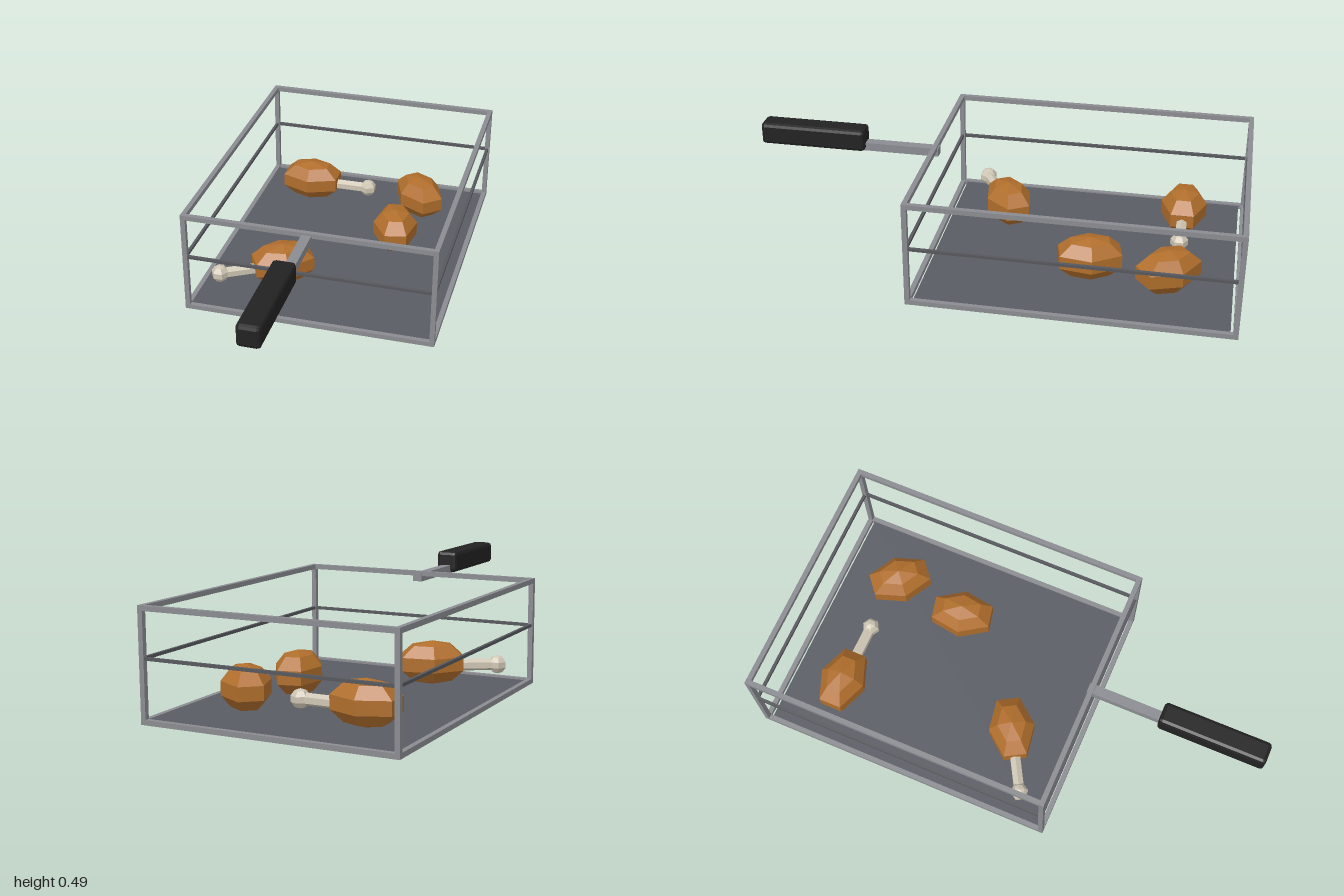
import * as THREE from 'three';
import { RoundedBoxGeometry } from 'three/addons/geometries/RoundedBoxGeometry.js';

const mat = (name, color, flatShading = false) => {
  const m = new THREE.MeshStandardMaterial({ color, flatShading });
  m.name = name;
  return m;
};

export function createModel() {
  const steel = mat('steel', 0x8b8c91);
  const wire = mat('dark wire', 0x57585d);
  const tray = mat('tray grey', 0x595c63);
  const black = mat('black grip', 0x222222, true);
  const meat = mat('fried brown', 0xb06e2c, true);
  const bone = mat('bone', 0xcfc6b4, true);

  const model = new THREE.Group();
  model.name = 'fryBasket';

  const add = (parent, name, geometry, material, x, y, z) => {
    const mesh = new THREE.Mesh(geometry, material);
    mesh.name = name;
    mesh.position.set(x, y, z);
    parent.add(mesh);
    return mesh;
  };
  const box = (name, w, h, d, material, x, y, z) =>
    add(model, name, new THREE.BoxGeometry(w, h, d), material, x, y, z);

  // Basket dimensions
  const T = 0.02, X = 0.51, H = 0.44, zBack = -0.99, zFront = 0.27;
  const zMid = (zBack + zFront) / 2, length = zFront - zBack;

  // Tray floor
  box('trayFloor', 1.0, 0.012, 1.22, tray, 0, 0.008, zMid);

  // Bottom and top rims
  for (const [name, y] of [['bottomRim', T / 2], ['topRim', H - T / 2]]) {
    for (const z of [zBack, zFront]) box(name, 2 * X + T, T, T, steel, 0, y, z);
    for (const x of [-X, X]) box(name, T, T, length - T, steel, x, y, zMid);
  }

  // Corner posts
  for (const x of [-X, X])
    for (const z of [zBack, zFront]) box('cornerPost', T, H - 2 * T, T, steel, x, H / 2, z);

  // Thin rail around the middle
  const W = 0.012, railY = 0.245;
  for (const z of [zBack, zFront]) box('middleRail', 2 * X - T, W, W, wire, 0, railY, z);
  for (const x of [-X, X]) box('middleRail', W, W, length - T, wire, x, railY, zMid);

  // Handle
  box('handleRod', 0.04, 0.034, 0.335, steel, 0, 0.414, 0.4225);
  add(model, 'handleGrip', new RoundedBoxGeometry(0.092, 0.092, 0.44, 1, 0.015), black, 0, 0.445, 0.78);

  // Fried pieces, long axis along local z
  const pieces = [
    { x: -0.265, z: -0.74, turn: Math.PI / 2, hasBone: true },
    { x: -0.185, z: 0, turn: -Math.PI / 3, hasBone: true },
    { x: 0.25, z: -0.715, turn: 0.7 },
    { x: 0.207, z: -0.4, turn: 0.22 },
  ];
  const meatGeometry = new THREE.SphereGeometry(0.1, 6, 5).scale(1, 0.9, 1.5);
  const shaftGeometry = new THREE.CylinderGeometry(0.024, 0.024, 0.17, 6).rotateX(Math.PI / 2);
  const knobGeometry = new THREE.SphereGeometry(0.038, 6, 5);
  for (const { x, z, turn, hasBone } of pieces) {
    const piece = new THREE.Group();
    piece.name = hasBone ? 'drumstick' : 'nugget';
    piece.position.set(x, 0, z);
    piece.rotation.y = turn;
    model.add(piece);
    add(piece, 'meat', meatGeometry, meat, 0, 0.11, 0);
    if (hasBone) {
      add(piece, 'boneShaft', shaftGeometry, bone, 0, 0.097, 0.175);
      add(piece, 'boneKnob', knobGeometry, bone, 0, 0.097, 0.268);
    }
  }
  return model;
}
